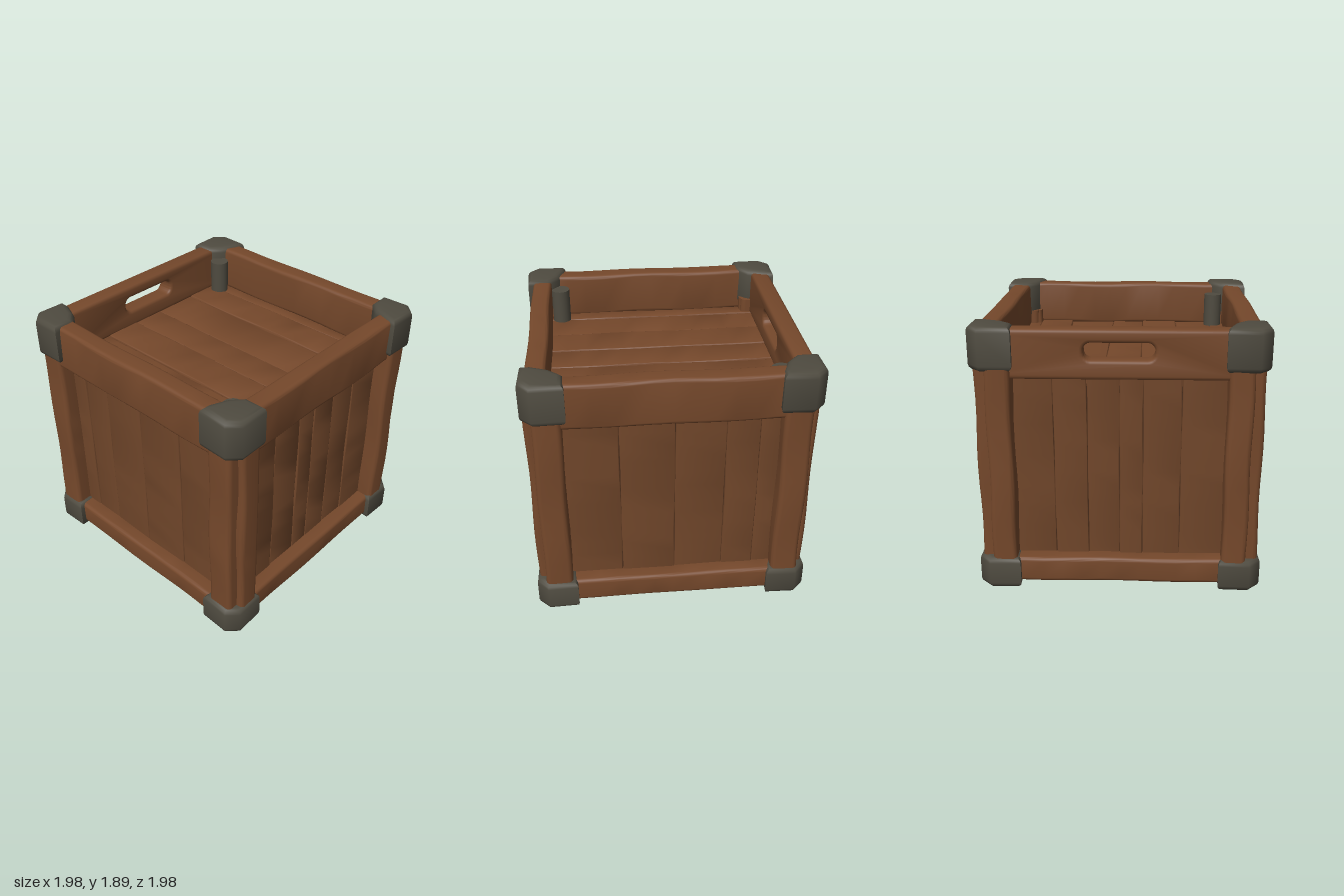
import * as THREE from 'three';
import { toCreasedNormals } from 'three/addons/utils/BufferGeometryUtils.js';

const wood = new THREE.MeshStandardMaterial({ color: 0x75482b });
wood.name = 'wood';
const panelWood = new THREE.MeshStandardMaterial({ color: 0x70462a });
panelWood.name = 'panelWood';
const seamBrown = new THREE.MeshStandardMaterial({ color: 0x4a2e1d });
seamBrown.name = 'seamBrown';
const metal = new THREE.MeshStandardMaterial({ color: 0x4f4b40 });
metal.name = 'metal';

// Rounded rectangle centred on the origin
function roundedRect(w, h, r) {
  const s = new THREE.Shape(), x = w / 2, y = h / 2;
  s.moveTo(-x + r, -y);
  s.lineTo(x - r, -y).absarc(x - r, -y + r, r, -Math.PI / 2, 0);
  s.lineTo(x, y - r).absarc(x - r, y - r, r, 0, Math.PI / 2);
  s.lineTo(-x + r, y).absarc(-x + r, y - r, r, Math.PI / 2, Math.PI);
  s.lineTo(-x, -y + r).absarc(-x + r, -y + r, r, Math.PI, Math.PI * 1.5);
  return s;
}

// Hand-hewn waviness, a smooth function of position
function wobble(g, amp, seed) {
  const p = g.attributes.position;
  for (let i = 0; i < p.count; i++) {
    const x = p.getX(i), y = p.getY(i), z = p.getZ(i);
    p.setX(i, x + amp * Math.sin(z * 6.1 + y * 9 + seed * 2.3));
    p.setY(i, y + amp * Math.sin(z * 7.3 + x * 8 + seed * 4.1));
  }
  return toCreasedNormals(g, 0.7);
}

let seed = 1;
// Timber filling the box between two corners, its grain along the given axis
function timber(name, axis, lo, hi, r, material, amp) {
  const size = lo.map((v, i) => hi[i] - v);
  const [w, h, len] = axis === 'x' ? [size[2], size[1], size[0]]
    : axis === 'y' ? [size[0], size[2], size[1]] : size;
  const g = new THREE.ExtrudeGeometry(roundedRect(w, h, r),
    { depth: len, steps: 12, bevelEnabled: false, curveSegments: 3 });
  g.translate(0, 0, -len / 2);
  const mesh = new THREE.Mesh(wobble(g, amp, seed++), material);
  if (axis === 'x') mesh.rotation.y = Math.PI / 2;
  if (axis === 'y') mesh.rotation.x = -Math.PI / 2;
  mesh.position.set(...lo.map((v, i) => (v + hi[i]) / 2));
  mesh.name = name;
  return mesh;
}

// Worn metal cap for one corner, from its plan outline
function cornerCap(y0, y1) {
  const b = 0.04;
  const plan = [[0.737, 0.915], [0.782, 0.805], [0.845, 0.737], [0.945, 0.735],
    [0.95, 0.895], [0.895, 0.95], [0.735, 0.945]];
  const s = new THREE.Shape(plan.map(([x, z]) => new THREE.Vector2(x, -z)));
  const g = new THREE.ExtrudeGeometry(s, { depth: y1 - y0 - 2 * b, bevelThickness: b,
    bevelSize: b, bevelSegments: 3 });
  g.rotateX(-Math.PI / 2).translate(0, y0 + b, 0);
  return toCreasedNormals(g, 0.9);
}

// Wide top board with a hand slot cut through it
function slottedBoard() {
  const s = roundedRect(1.6, 0.285, 0.01);
  const slot = roundedRect(0.52, 0.165, 0.075).getPoints(6).reverse();
  s.holes.push(new THREE.Path(slot.map((p) => new THREE.Vector2(p.x, p.y + 0.02))));
  const g = new THREE.ExtrudeGeometry(s, { depth: 0.09, bevelThickness: 0.025,
    bevelSize: 0.025, bevelSegments: 3 });
  g.translate(0, 0, -0.045);
  const mesh = new THREE.Mesh(toCreasedNormals(g, 0.7), wood);
  mesh.rotation.y = -Math.PI / 2;
  mesh.position.set(-0.88, 1.7025, 0);
  mesh.name = 'handleBoard';
  return mesh;
}

export function createModel() {
  const crate = new THREE.Group();
  crate.name = 'crate';
  const add = (...a) => crate.add(timber(...a));

  // Dark core seen through the plank gaps
  const core = new THREE.Mesh(new THREE.BoxGeometry(1.64, 1.34, 1.64), seamBrown);
  core.position.y = 0.84;
  core.name = 'core';
  crate.add(core);

  // Vertical wall planks on all four sides
  const wallSeams = [
    [-0.78, -0.6, -0.37, -0.02, 0.36, 0.78],
    [-0.78, -0.45, -0.22, 0, 0.16, 0.42, 0.78],
  ];
  for (const s of [-1, 1]) {
    wallSeams.forEach((seams, side) => {
      for (let i = 0; i < seams.length - 1; i++) {
        const a = seams[i] + 0.001, b = seams[i + 1] - 0.001;
        const d = 0.846 + 0.005 * Math.sin(i * 2.7 + s);
        const n = s > 0 ? 0.77 : -d, f = s > 0 ? d : -0.77;
        if (side === 0) add('frontBackPlank', 'y', [a, 0.15, n], [b, 1.537, f], 0.008, panelWood, 0.002);
        else add('sidePlank', 'y', [n, 0.15, a], [f, 1.537, b], 0.008, panelWood, 0.002);
      }
    });
  }

  // Lid and base planks, running left to right
  const lidSeams = [-0.83, -0.72, -0.46, -0.11, 0.14, 0.42, 0.7, 0.83];
  for (let i = 0; i < lidSeams.length - 1; i++) {
    const a = lidSeams[i] + 0.001, b = lidSeams[i + 1] - 0.001;
    const t = 1.545 + 0.006 * Math.sin(i * 2.1);
    add('lidPlank', 'x', [-0.83, t - 0.08, a], [0.83, t, b], 0.01, wood, 0.002);
    add('basePlank', 'x', [-0.83, 0.13, a], [0.83, 0.21, b], 0.014, panelWood, 0.002);
  }

  // Frame rails, top and bottom
  for (const s of [-1, 1]) {
    const n = s > 0 ? 0.805 : -0.95, f = s > 0 ? 0.95 : -0.805;
    add('topRail', 'x', [-0.8, 1.535, n], [0.8, 1.87, f], 0.03, wood, 0.004);
    add('bottomRail', 'x', [-0.8, 0.04, n], [0.8, 0.225, f], 0.03, wood, 0.003);
    add('bottomSideRail', 'z', [n, 0.04, -0.8], [f, 0.225, 0.8], 0.03, wood, 0.003);
  }
  add('topSideRail', 'z', [0.805, 1.535, -0.8], [0.945, 1.87, 0.8], 0.03, wood, 0.004);
  crate.add(slottedBoard());

  // Corner posts of two boards, with metal caps at both ends
  const bottomCap = cornerCap(0, 0.235), topCap = cornerCap(1.59, 1.89);
  for (let i = 0; i < 4; i++) {
    const sx = i < 2 ? 1 : -1, sz = i % 2 ? 1 : -1;
    const span = (s, a, b) => (s > 0 ? [a, b] : [-b, -a]);
    const board = (name, xr, zr) => {
      const [x0, x1] = span(sx, ...xr), [z0, z1] = span(sz, ...zr);
      add(name, 'y', [x0, 0.15, z0], [x1, 1.65, z1], 0.035, wood, 0.005);
    };
    board('frontPostBoard', [0.73, 0.925], [0.74, 0.965]);
    board('sidePostBoard', [0.74, 0.975], [0.715, 0.885]);

    const turn = sx > 0 ? (sz > 0 ? 0 : 1) : (sz > 0 ? 3 : 2);
    for (const [name, g] of [['bottomCornerCap', bottomCap], ['topCornerCap', topCap]]) {
      const cap = new THREE.Mesh(g, metal);
      cap.rotation.y = turn * Math.PI / 2;
      cap.name = name;
      crate.add(cap);
    }
  }

  // Rods in two opposite inner corners; one also shows below the base
  for (const [s, y0] of [[1, 1.4], [-1, 0.09]]) {
    const h = 1.8 - y0;
    const rod = new THREE.Mesh(new THREE.CylinderGeometry(0.07, 0.07, h, 20), metal);
    rod.position.set(0.735 * s, y0 + h / 2, 0.725 * s);
    rod.name = 'cornerRod';
    crate.add(rod);
  }
  return crate;
}
